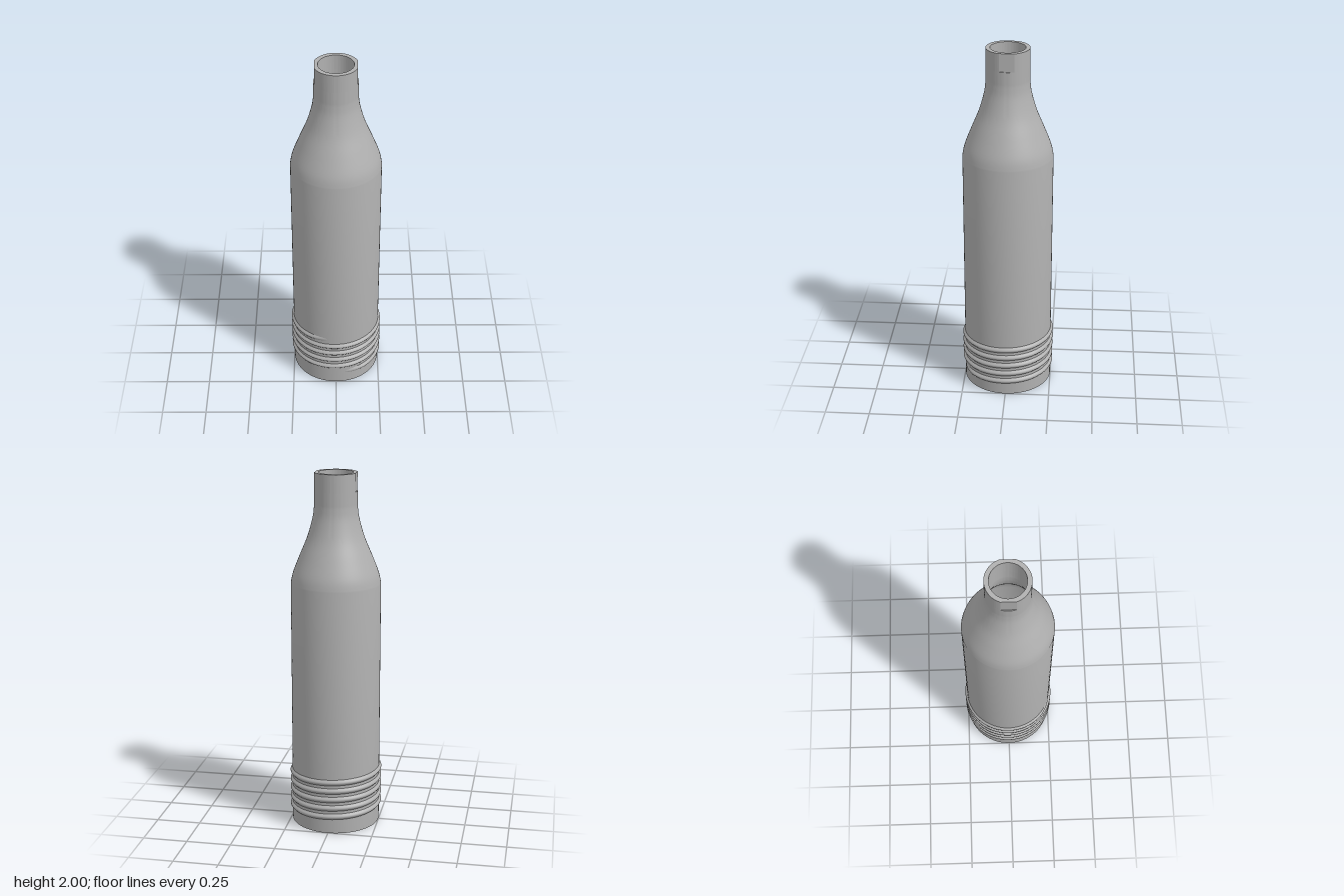
import * as THREE from 'three';
import { toCreasedNormals } from 'three/addons/utils/BufferGeometryUtils.js';

const NECK = 0.119, BORE = 0.095, FLAT = 0.112, BODY = 0.249, INNER = 0.228;

// Hollow shell: outer wall upwards, rim, then inner wall back down
function shellGeometry() {
  const shoulder = new THREE.SplineCurve([
    [BODY, 1.39], [0.236, 1.45], [0.197, 1.55], [0.156, 1.65],
    [0.128, 1.75], [0.12, 1.81], [NECK, 1.84],
  ].map(([r, y]) => new THREE.Vector2(r, y))).getPoints(28);
  const bore = shoulder.map((p) => new THREE.Vector2(
    THREE.MathUtils.mapLinear(p.x, NECK, BODY, BORE, INNER), p.y)).reverse();
  const profile = [
    new THREE.Vector2(INNER, 0), new THREE.Vector2(BODY, 0),
    ...shoulder,
    new THREE.Vector2(NECK, 1.9), new THREE.Vector2(BORE, 1.9),
    ...bore,
    new THREE.Vector2(INNER, 0),
  ];
  return toCreasedNormals(new THREE.LatheGeometry(profile, 96), 0.5);
}

// Top of the neck: a ring with a flat on each side
function flattedNeckGeometry() {
  const a = Math.acos(FLAT / NECK);
  const shape = new THREE.Shape();
  shape.absarc(0, 0, NECK, a, Math.PI - a, false);
  shape.absarc(0, 0, NECK, Math.PI + a, 2 * Math.PI - a, false);
  shape.closePath();
  shape.holes.push(new THREE.Path().absarc(0, 0, BORE, 0, Math.PI * 2, true));
  const geo = new THREE.ExtrudeGeometry(shape, { depth: 0.1, bevelEnabled: false, curveSegments: 48 });
  geo.rotateX(-Math.PI / 2).translate(0, 1.9, 0);
  return toCreasedNormals(geo, 0.2);
}

// Right-handed screw thread: a ridge section swept up a helix
function threadGeometry() {
  const section = [[-0.005, -0.022], [0.008, -0.009], [0.012, -0.003], [0.012, 0.003], [0.008, 0.009], [-0.005, 0.022]];
  const turns = 5, steps = turns * 72, n = section.length;
  const pos = [], index = [];
  for (let i = 0; i <= steps; i++) {
    const t = i / steps;
    const angle = -Math.PI / 2 + t * turns * Math.PI * 2;
    const fade = Math.min(1, i / 8, (steps - i) / 8);
    for (const [dr, dy] of section) {
      const r = BODY - 0.005 + (dr + 0.005) * fade;
      pos.push(r * Math.cos(angle), 0.073 + 0.255 * t + dy, -r * Math.sin(angle));
    }
  }
  for (let i = 0; i < steps; i++) {
    for (let j = 0; j < n - 1; j++) {
      const a = i * n + j, b = a + n;
      index.push(a, b, a + 1, b, b + 1, a + 1);
    }
  }
  const geo = new THREE.BufferGeometry();
  geo.setAttribute('position', new THREE.Float32BufferAttribute(pos, 3));
  geo.setIndex(index);
  geo.computeVertexNormals();
  return geo;
}

export function createModel() {
  const group = new THREE.Group();
  group.name = 'threadedTube';
  const grey = new THREE.MeshStandardMaterial({ color: 0xb0b0b0 });
  grey.name = 'grey';

  const add = (name, geometry) => {
    const mesh = new THREE.Mesh(geometry, grey);
    mesh.name = name;
    group.add(mesh);
  };
  add('hollowBody', shellGeometry());
  add('flattedNeck', flattedNeckGeometry());
  add('screwThread', threadGeometry());
  return group;
}
